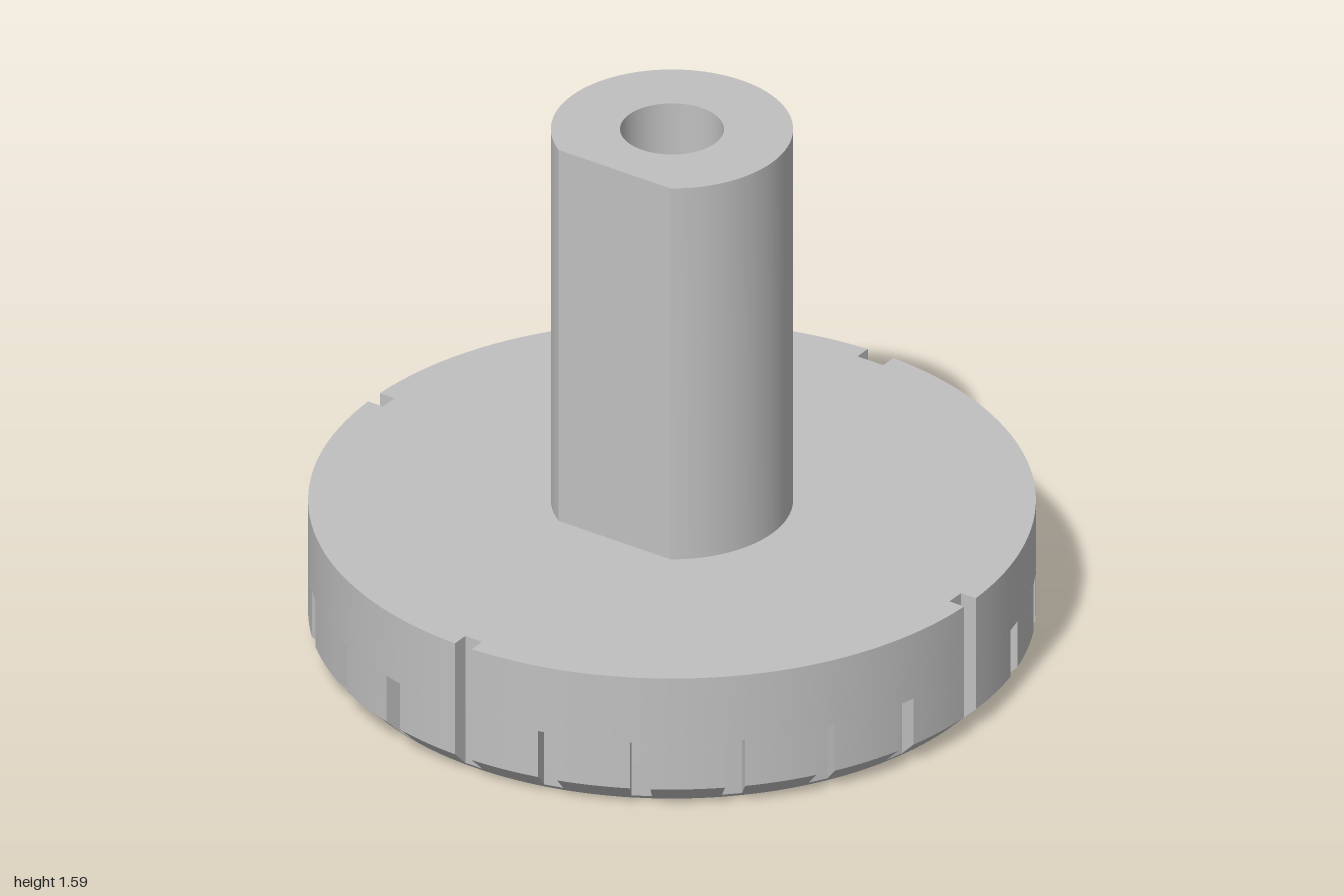
import * as THREE from 'three';
import { toCreasedNormals } from 'three/addons/utils/BufferGeometryUtils.js';

const FLOOR = 0.95;        // distance of the notch floors from the axis
const RIM_TOP = 0.415, NOTCH_TOP = 0.21, BORE_DEPTH = 0.25;

// Rim outline at a given radius, counter-clockwise, with evenly spaced notches
function outline(radius, count) {
  const pts = [];
  const halfWidth = (i) => (i === count / 4 ? 0.043 : 0.028); // the back notch is wider
  const arcSteps = 144 / count;
  for (let i = 0; i < count; i++) {
    const angle = (i / count) * Math.PI * 2;
    const h = halfWidth(i);
    const edge = Math.sqrt(radius * radius - h * h);
    const depth = Math.min(FLOOR, edge);
    for (const [x, y] of [[edge, -h], [depth, -h], [depth, h], [edge, h]]) {
      pts.push(new THREE.Vector2(x, y).rotateAround(new THREE.Vector2(), angle));
    }
    // Arc to the next notch
    const start = angle + Math.asin(h / radius);
    const end = ((i + 1) / count) * Math.PI * 2 - Math.asin(halfWidth((i + 1) % count) / radius);
    for (let s = 1; s < arcSteps; s++) {
      const t = start + ((end - start) * s) / arcSteps;
      pts.push(new THREE.Vector2(Math.cos(t) * radius, Math.sin(t) * radius));
    }
  }
  return pts;
}

// Walls joining a stack of [height, radius] outlines
function loft(levels, count) {
  const pos = [], index = [];
  let n = 0;
  levels.forEach(([y, r], k) => {
    const ring = outline(r, count);
    n = ring.length;
    ring.forEach((p) => pos.push(p.x, y, -p.y));
    if (k === 0) return;
    for (let i = 0; i < n; i++) {
      const j = (i + 1) % n, lo = (k - 1) * n, hi = k * n;
      index.push(lo + i, lo + j, hi + j, lo + i, hi + j, hi + i);
    }
  });
  const g = new THREE.BufferGeometry();
  g.setAttribute('position', new THREE.Float32BufferAttribute(pos, 3));
  g.setIndex(index);
  return toCreasedNormals(g, 0.5);
}

function circle(r, x = 0) {
  return new THREE.Path().absarc(x, 0, r, 0, Math.PI * 2, true);
}

// Flat horizontal face with holes, facing up or down
function face(shape, holes, y, up) {
  shape.holes.push(...holes);
  return new THREE.ShapeGeometry(shape, 32)
    .rotateX(up ? -Math.PI / 2 : Math.PI / 2)
    .translate(0, y, 0);
}

function lathe(points) {
  const g = new THREE.LatheGeometry(points.map(([x, y]) => new THREE.Vector2(x, y)), 64);
  return toCreasedNormals(g, 0.5);
}

export function createModel() {
  const group = new THREE.Group();
  const grey = new THREE.MeshStandardMaterial({ color: 0xc0c0c0 });
  grey.name = 'plainGrey';

  const add = (name, geometry) => {
    const mesh = new THREE.Mesh(geometry, grey);
    mesh.name = name;
    group.add(mesh);
    return mesh;
  };

  // Disc: chamfered lower rim with 24 notches, upper rim with 4
  add('lowerRim', loft([[0, 0.935], [0.015, 0.95], [0.065, 1], [NOTCH_TOP, 1]], 24));
  add('upperRim', loft([[NOTCH_TOP, 1], [RIM_TOP, 1]], 4));
  add('notchCeilings', face(new THREE.Shape(outline(1, 4)), [circle(0.9)], NOTCH_TOP, false));
  add('discTop', face(new THREE.Shape(outline(1, 4)), [circle(0.25)], RIM_TOP, true));
  add('discBottom', face(new THREE.Shape(outline(0.935, 24)),
    [circle(0.265), circle(0.073, -0.82)], 0, false));

  // Recesses in the underside
  add('counterbore', lathe([[0.265, BORE_DEPTH], [0.265, 0]]));
  add('indexHole', lathe([[0, 0.08], [0.073, 0.08], [0.073, 0]])).position.x = -0.82;

  // Shaft with a flat on the front and a through bore
  const radius = 0.333, flat = Math.asin(0.275 / radius);
  const section = new THREE.Shape();
  section.absarc(0, 0, radius, -flat, Math.PI + flat, false);
  section.closePath();
  section.holes.push(circle(0.143));
  const shaft = new THREE.ExtrudeGeometry(section, {
    depth: 1.585 - BORE_DEPTH, bevelEnabled: false, curveSegments: 36,
  });
  shaft.rotateX(-Math.PI / 2).translate(0, BORE_DEPTH, 0);
  add('shaft', toCreasedNormals(shaft, 0.4));

  return group;
}
